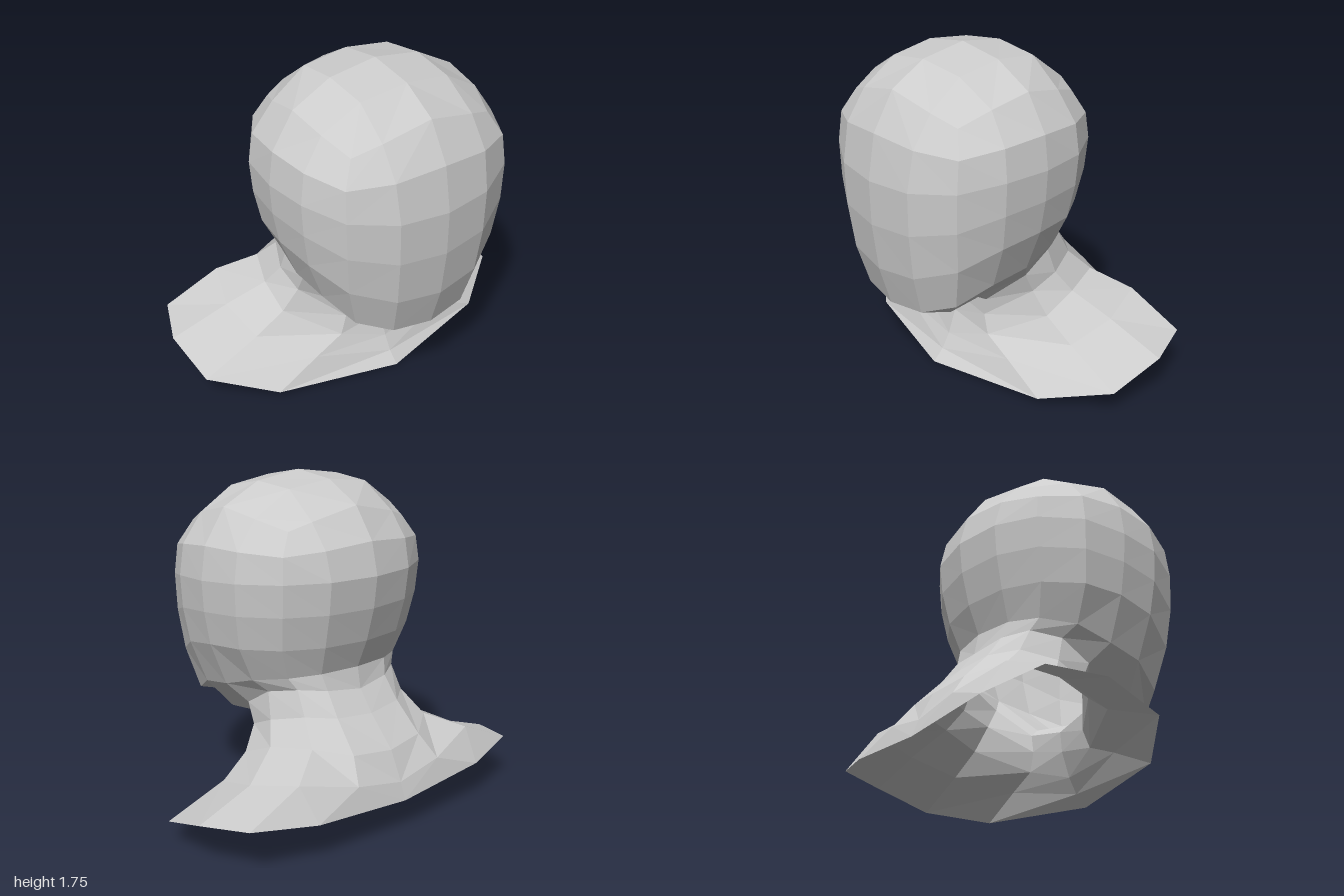
import * as THREE from 'three';

// Half outline of a head ring, front centre -> left side -> back centre (unit x, z)
const ROUND = [[0, 1], [.425, .945], [.785, .745], [.955, .39], [1, 0], [.955, -.39], [.74, -.73], [.42, -.93], [0, -1]];
const SQUARE = [[0, 1], [.56, .955], [.86, .85], [.97, .49], [1, 0], [.95, -.49], [.8, -.86], [.56, -.95], [0, -1]];
const MID_Z = 0.113;

// One head ring: the heights blend from the side towards front and back
function headRing({ front, back, side, drop = 0, square = 0 }) {
  return ROUND.map(([rx, rz], i) => {
    const x = THREE.MathUtils.lerp(rx, SQUARE[i][0], square);
    const z = THREE.MathUtils.lerp(rz, SQUARE[i][1], square);
    const end = z > 0 ? front : back;
    const blend = z > 0 ? z * z : Math.pow(-z, 0.6);
    const y = side[1] + (end[1] - side[1]) * blend - drop * 4 * x * x * z * z;
    return [x * side[0], y, MID_Z + Math.abs(z) * (end[0] - MID_Z)];
  });
}

// Quads between rows of points, mirrored across x = 0
function addSheet(out, rows) {
  const mirror = ([x, y, z]) => [-x, y, z];
  for (let i = 0; i < rows.length - 1; i++) {
    for (let j = 0; j < rows[i].length - 1; j++) {
      const a = rows[i][j], b = rows[i][j + 1], c = rows[i + 1][j + 1], d = rows[i + 1][j];
      out.push(a, d, c, a, c, b);
      out.push(...[a, c, d, a, b, c].map(mirror));
    }
  }
}

function makeMesh(name, sheets) {
  const points = [];
  sheets.forEach((rows) => addSheet(points, rows));
  const geometry = new THREE.BufferGeometry();
  geometry.setAttribute('position', new THREE.Float32BufferAttribute(points.flat(), 3));
  geometry.computeVertexNormals();
  const material = new THREE.MeshStandardMaterial({ color: 0xcccccc, flatShading: true, side: THREE.DoubleSide });
  const mesh = new THREE.Mesh(geometry, material);
  mesh.name = name;
  return mesh;
}

export function createModel() {
  // Head rings from crown edge to jaw: front and back are [z, y], side is [x, y]
  const rings = [
    { front: [.545, 1.585], back: [-.326, 1.61], side: [.48, 1.6], drop: .05, square: 1 },
    { front: [.66, 1.39], back: [-.44, 1.448], side: [.6, 1.42], drop: .03, square: .2 },
    { front: [.70, 1.157], back: [-.48, 1.28], side: [.625, 1.25] },
    { front: [.695, .926], back: [-.46, 1.115], side: [.615, 1.09] },
    { front: [.663, .677], back: [-.413, .94], side: [.583, .917] },
    { front: [.598, .464], back: [-.35, .79], side: [.49, .69], square: .2 },
  ].map(headRing);
  const r = rings[0], jaw = rings[5];

  // Crown cap, back to front
  const crown = [
    [r[8], r[7], r[6]],
    [[0, 1.72, -.127], [.255, 1.69, -.12], r[5]],
    [[0, 1.748, .113], [.265, 1.71, .113], r[4]],
    [[0, 1.70, .36], [.26, 1.665, .345], r[3]],
    [r[0], r[1], r[2]],
  ];

  // Underside of the jaw, chin back to throat
  const throat = [[0, .423, .22], [.24, .46, .20], jaw[4]];
  const underJaw = [
    [jaw[0], jaw[1], jaw[2]],
    [[0, .404, .41], [.24, .435, .40], jaw[3]],
    throat,
  ];

  // Neck flaring into the open shoulder edge, each ring front -> side -> back
  const neck = [
    [...throat, ...jaw.slice(5)],
    [[0, .375, .17], [.225, .415, .15], [.405, .59, .04], [.40, .686, -.12], [.33, .714, -.265], [.2, .70, -.345], [0, .677, -.372]],
    [[0, .27, .18], [.21, .32, .15], [.41, .485, -.01], [.42, .55, -.16], [.34, .59, -.33], [.21, .58, -.43], [0, .566, -.455]],
    [[0, .14, .225], [.25, .22, .16], [.49, .36, -.04], [.48, .44, -.23], [.395, .47, -.45], [.23, .43, -.57], [0, .41, -.60]],
    [[0, .06, .27], [.42, .15, .17], [.65, .25, -.06], [.68, .323, -.32], [.59, .38, -.58], [.28, .31, -.66], [0, .26, -.672]],
    [[0, 0, .33], [.663, .035, .18], [.973, .126, -.045], [1, .222, -.345], [.9, .25, -.6], [.56, .21, -.69], [0, .17, -.705]],
  ];

  const group = new THREE.Group();
  group.name = 'headBust';
  group.add(makeMesh('head', [crown, rings, underJaw]));
  group.add(makeMesh('neckAndShoulders', [neck]));
  return group;
}
